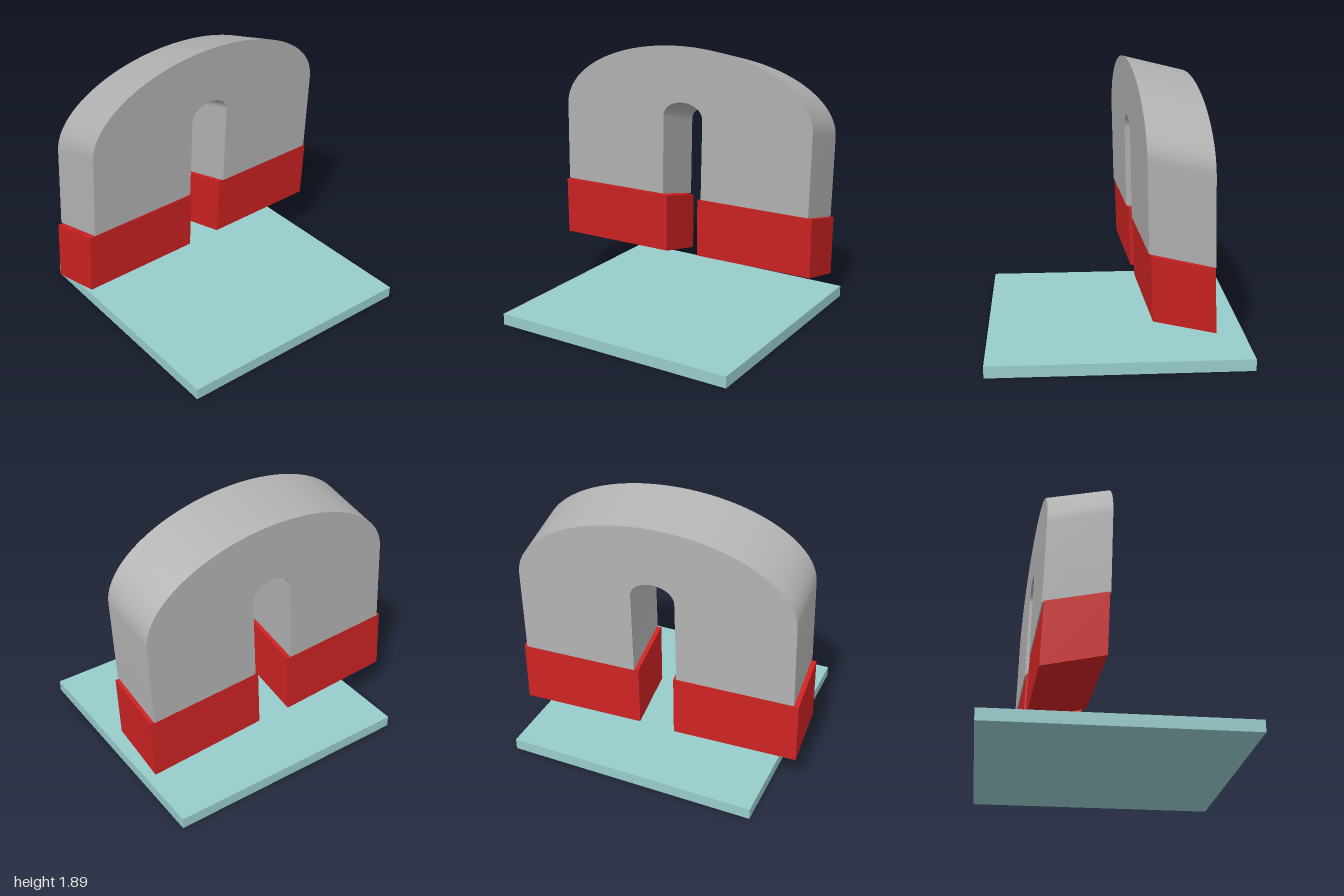
import * as THREE from 'three';
import { toCreasedNormals } from 'three/addons/utils/BufferGeometryUtils.js';

const paint = (name, color) => {
  const m = new THREE.MeshStandardMaterial({ color });
  m.name = name;
  return m;
};

const vec = (x, y, z) => new THREE.Vector3(x, y, z);

// Places a geometry in a slanted frame given by three axes and an origin
function slant(geometry, xAxis, yAxis, zAxis, origin) {
  const m = new THREE.Matrix4().makeBasis(xAxis, yAxis, zAxis).setPosition(origin);
  return geometry.applyMatrix4(m);
}

export function createModel() {
  const group = new THREE.Group();
  group.name = 'magnetOverPlate';
  const grey = paint('steelGrey', 0xb2b2b2);
  const red = paint('poleRed', 0xcc2222);
  const teal = paint('plateTeal', 0x98cccc);

  const add = (name, geometry, material) => {
    const mesh = new THREE.Mesh(geometry, material);
    mesh.name = name;
    group.add(mesh);
  };

  // Base plate
  add('basePlate', new THREE.BoxGeometry(1.73, 0.08, 1.77).translate(0, 0.04, -0.067), teal);

  // Horseshoe body: two legs joined by an elliptical arch
  const outer = 0.964, inner = 0.153, leg = 0.578;
  const shape = new THREE.Shape();
  shape.moveTo(inner, -leg);
  shape.lineTo(outer, -leg);
  shape.lineTo(outer, 0);
  shape.absellipse(0, 0, outer, 0.5, 0, Math.PI, false);
  shape.lineTo(-outer, -leg);
  shape.lineTo(-inner, -leg);
  shape.lineTo(-inner, 0);
  shape.absellipse(0, 0, inner, 0.107, Math.PI, 0, true);
  shape.lineTo(inner, -leg);
  const body = new THREE.ExtrudeGeometry(shape, { depth: 1, bevelEnabled: false, curveSegments: 32 });
  slant(body, vec(-0.045, -0.006, -1), vec(0.028, 1, -0.03), vec(0.42, 0.104, -0.018),
    vec(-0.527, 1.286, -0.02));
  add('horseshoeBody', toCreasedNormals(body, 0.6), grey);

  // Pole tips: two slanted blocks under the legs
  const tips = { frontPole: vec(-0.508, 0.283, 1.0), backPole: vec(-0.555, 0.285, -0.118) };
  for (const [name, corner] of Object.entries(tips)) {
    // unit box with its corner at the origin, running back from it
    const box = new THREE.BoxGeometry(1, 1, 1).translate(0.5, 0.5, -0.5);
    slant(box, vec(0.402, 0.096, -0.016), vec(0.016, 0.426, -0.009), vec(0.04, 0.008, 0.865), corner);
    add(name, box, red);
  }
  return group;
}
